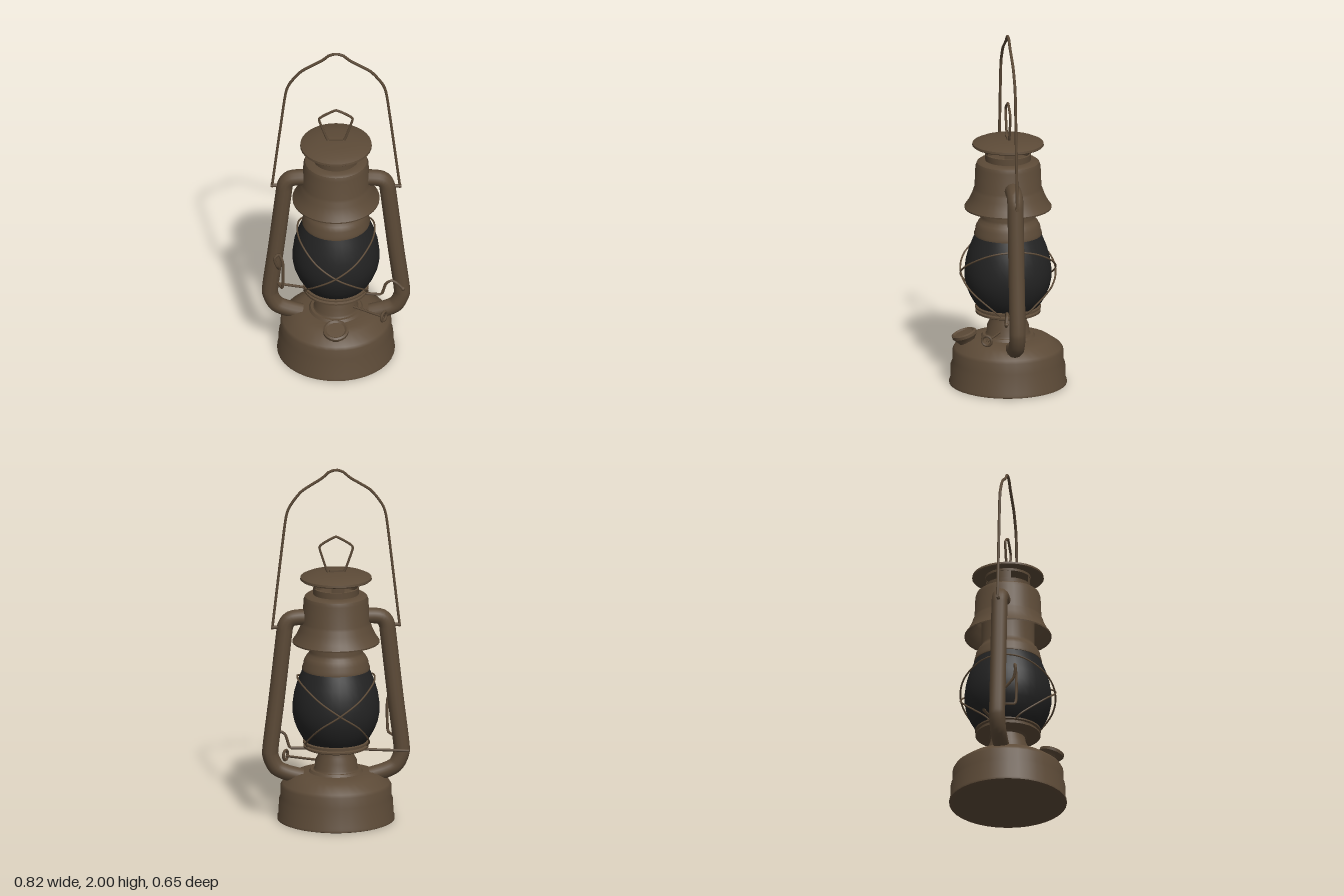
import * as THREE from 'three';
import { toCreasedNormals } from 'three/addons/utils/BufferGeometryUtils.js';

export function createModel() {
  const root = new THREE.Group();
  root.name = 'lantern';
  const metal = new THREE.MeshStandardMaterial({ color: 0x5c4a37, side: THREE.DoubleSide });
  metal.name = 'aged brown metal';
  const glass = new THREE.MeshStandardMaterial({ color: 0x232323, side: THREE.DoubleSide });
  glass.name = 'smoked glass';

  const add = (name, geometry, material = metal, parent = root) => {
    const mesh = new THREE.Mesh(geometry, material);
    mesh.name = name;
    parent.add(mesh);
    return mesh;
  };
  // Turned part from [radius, height] pairs, bottom to top
  const turned = (name, profile, material = metal, parent = root) => {
    const pts = profile.map(([r, y]) => new THREE.Vector2(r, y));
    return add(name, toCreasedNormals(new THREE.LatheGeometry(pts, 36), 0.6), material, parent);
  };
  // Round bar bent through a list of points
  const wire = (name, pts, radius, tension = 0.2, closed = false, sides = 6) => {
    const curve = new THREE.CatmullRomCurve3(pts.map(p => new THREE.Vector3(...p)), closed, 'catmullrom', tension);
    return add(name, new THREE.TubeGeometry(curve, pts.length * 7, radius, sides, closed));
  };

  // Fuel tank
  turned('fuelTank', [[0, 0.004], [0.3, 0.004], [0.315, 0], [0.325, 0.004], [0.325, 0.016], [0.318, 0.03],
    [0.316, 0.11], [0.306, 0.135], [0.306, 0.195], [0.296, 0.212], [0.235, 0.255], [0.2, 0.268],
    [0.15, 0.272], [0.14, 0.285], [0, 0.285]]);

  // Burner and the plate carrying the globe
  turned('burner', [[0.125, 0.27], [0.125, 0.285], [0.118, 0.295], [0.115, 0.335], [0.1, 0.365],
    [0.095, 0.395], [0.11, 0.41], [0, 0.412]]);
  turned('globePlate', [[0, 0.405], [0.165, 0.405], [0.18, 0.412], [0.18, 0.422], [0.168, 0.427],
    [0.168, 0.434], [0.182, 0.437], [0.182, 0.445], [0.16, 0.45], [0, 0.45]]);

  // Globe
  turned('globe', [[0.162, 0.44], [0.187, 0.47], [0.21, 0.51], [0.23, 0.56], [0.24, 0.61], [0.24, 0.66],
    [0.232, 0.72], [0.215, 0.78], [0.195, 0.83], [0.18, 0.865]], glass);

  // Chimney collar, hood and vented neck
  turned('chimneyCollar', [[0.178, 0.855], [0.187, 0.857], [0.187, 0.868], [0.182, 0.88], [0.178, 0.905],
    [0.165, 0.93], [0.15, 0.945], [0.146, 0.96], [0.146, 1.2]]);
  turned('hood', [[0.232, 1.015], [0.24, 1.01], [0.241, 1.018], [0.222, 1.045], [0.202, 1.085], [0.192, 1.115],
    [0.185, 1.13], [0.18, 1.25], [0.172, 1.272], [0.158, 1.282], [0.128, 1.285], [0, 1.285]]);
  turned('neck', [[0.126, 1.283], [0.126, 1.32], [0.118, 1.322], [0.118, 1.285]]);
  for (let i = 0; i < 4; i++) {
    const post = add('ventPost', new THREE.CylinderGeometry(0.122, 0.122, 0.07, 6, 1, true, -0.3, 0.6));
    post.position.y = 1.345;
    post.rotation.y = i * Math.PI / 2;
  }
  turned('ventBand', [[0.118, 1.362], [0.126, 1.362], [0.126, 1.378]]);
  turned('topCap', [[0, 1.378], [0.13, 1.376], [0.192, 1.365], [0.198, 1.37], [0.196, 1.382],
    [0.165, 1.396], [0.1, 1.406], [0, 1.411]]);

  // Lifting ring
  wire('liftingRing', [[-0.045, 1.41, 0], [-0.055, 1.43, 0], [-0.094, 1.545, 0], [-0.07, 1.572, 0], [0, 1.61, 0],
    [0.066, 1.577, 0], [0.092, 1.55, 0], [0.055, 1.43, 0], [0.045, 1.41, 0]], 0.007);
  add('ringClip', new THREE.BoxGeometry(0.075, 0.016, 0.022)).position.y = 1.413;

  // Side air tubes
  for (const s of [-1, 1]) {
    wire('airTube', [[0.15, 1.155], [0.21, 1.155], [0.255, 1.145], [0.28, 1.11], [0.29, 1.04], [0.328, 0.7],
      [0.362, 0.42], [0.36, 0.36], [0.33, 0.3], [0.275, 0.27], [0.19, 0.245]]
      .map(([x, y]) => [s * x, y, 0]), 0.045, 0.45, false, 12);
    // Eyelet between tube and bail
    const lug = add('bailLug', new THREE.CylinderGeometry(0.01, 0.01, 0.07, 8));
    lug.rotation.z = Math.PI / 2;
    lug.position.set(s * 0.325, 1.1, 0);
  }

  // Carrying bail
  const half = [[0.353, 1.09], [0.35, 1.12], [0.288, 1.65], [0.272, 1.75], [0.25, 1.8], [0.19, 1.875],
    [0.08, 1.945], [0.04, 1.98]];
  wire('bail', [...half.map(([x, y]) => [-x, y, 0]), [0, 1.992, 0], ...half.reverse().map(([x, y]) => [x, y, 0])],
    0.008, 0.35);

  // Crossed guard wires: [angle from front, height, radius]
  const rising = [[-1.2, 0.43, 0.178], [-1, 0.47, 0.205], [-0.45, 0.57, 0.25], [0, 0.65, 0.264],
    [0.45, 0.725, 0.253], [1, 0.79, 0.226], [Math.PI / 2, 0.81, 0.214]];
  for (const s of [-1, 1]) {
    const front = rising.map(([a, y, r]) => [s * r * Math.sin(a), y, r * Math.cos(a)]);
    const back = front.slice(0, -1).reverse().map(([x, y, z]) => [x, y, -z]);
    wire('globeGuard', [...front, ...back], 0.005, 0.5);
  }

  // Globe lifting lever
  wire('globeLever', [[-0.4, 0.395, -0.07], [-0.33, 0.395, -0.055], [0, 0.395, 0.02], [0.235, 0.395, 0.045],
    [0.255, 0.405, 0.048], [0.275, 0.47, 0.05], [0.305, 0.492, 0.05], [0.335, 0.48, 0.055], [0.37, 0.445, 0.062]],
    0.008, 0.25);
  add('leverTip', new THREE.SphereGeometry(0.012, 8, 6)).position.set(0.37, 0.445, 0.062);

  // Wire latch on the right tube
  wire('latch', [[-0.32, 0.46, 0.03], [-0.298, 0.465, 0.085], [-0.293, 0.5, 0.095], [-0.293, 0.64, 0.095],
    [-0.315, 0.695, 0.09], [-0.34, 0.67, 0.1], [-0.325, 0.61, 0.085], [-0.315, 0.56, 0.035]], 0.008, 0.3);

  // Filler neck and tilted cap
  const filler = new THREE.Group();
  filler.name = 'filler';
  filler.position.set(0, 0.285, 0.243);
  filler.rotation.x = 0.3;
  root.add(filler);
  turned('fillerCap', [[0.04, -0.07], [0.043, -0.04], [0.062, -0.015], [0.07, -0.004], [0.07, 0.012],
    [0.06, 0.018], [0.05, 0.01], [0, 0.012]], metal, filler);

  // Wick key
  wire('wickStem', [[0.07, 0.32, 0.045], [0.15, 0.32, 0.09], [0.262, 0.32, 0.155]], 0.007);
  const key = add('wickKey', new THREE.TorusGeometry(0.028, 0.008, 6, 14));
  key.position.set(0.265, 0.325, 0.157);
  key.rotation.y = Math.PI / 3;

  return root;
}
